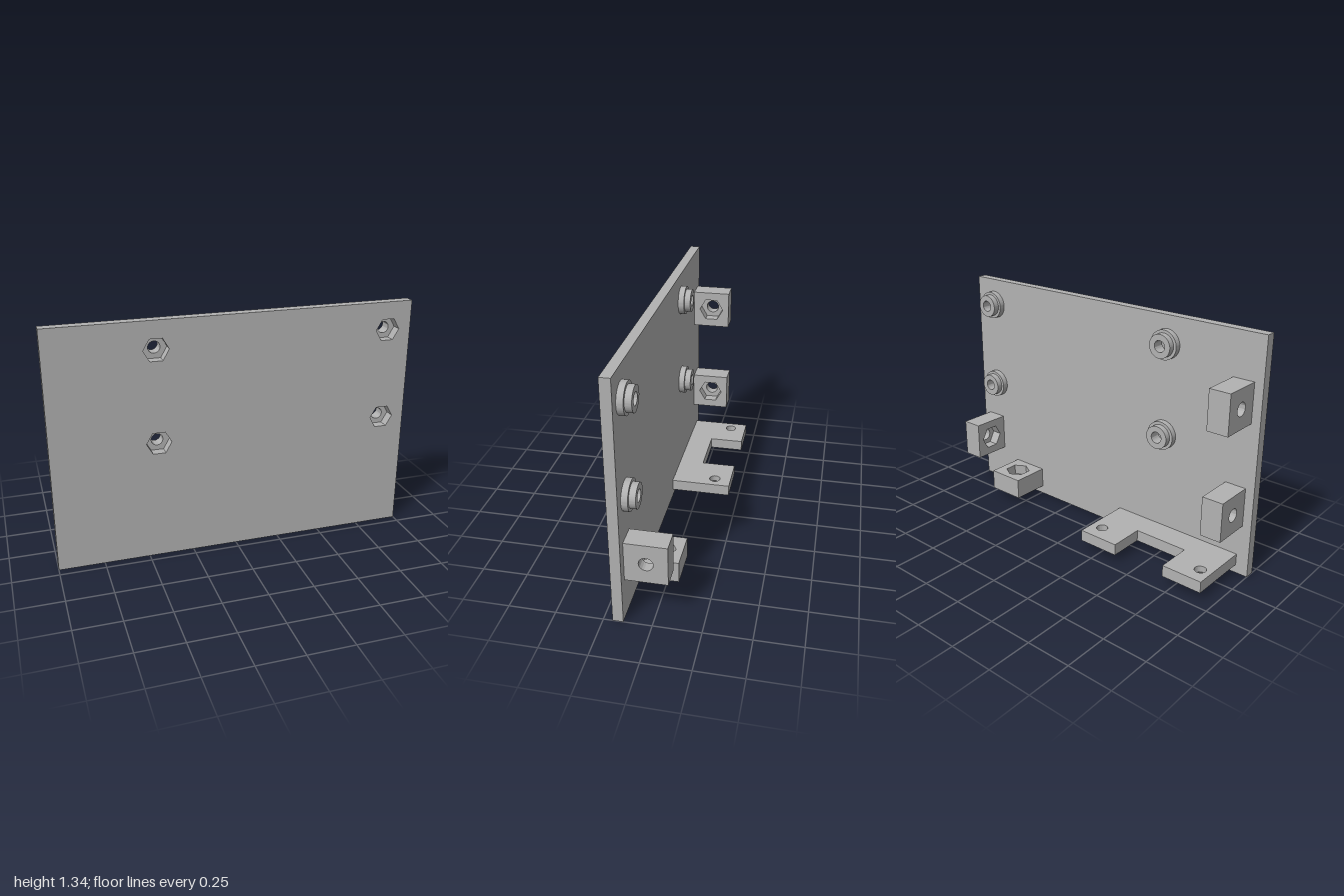
import * as THREE from 'three';
import { toCreasedNormals } from 'three/addons/utils/BufferGeometryUtils.js';

const grey = new THREE.MeshStandardMaterial({ color: 0xb2b2b2 });
grey.name = 'grey plastic';

// Outline helpers
const trace = (target, pts) => target.setFromPoints(pts.map(([x, y]) => new THREE.Vector2(x, y)));
const rect = (x0, y0, x1, y1) => trace(new THREE.Shape(), [[x0, y0], [x1, y0], [x1, y1], [x0, y1]]);
const disc = (r) => new THREE.Shape().absarc(0, 0, r, 0, Math.PI * 2, false);
const roundHole = (x, y, r) => new THREE.Path().absarc(x, y, r, 0, Math.PI * 2, true);
const hexHole = (x, y, r) => trace(new THREE.Path(), Array.from({ length: 7 }, (_, i) => {
  const a = -(i % 6) * Math.PI / 3;
  return [x + r * Math.cos(a), y + r * Math.sin(a)];
}));

// Extruded layer with holes, from z to z + depth
function layer(name, shape, holes, z, depth) {
  shape.holes.push(...holes);
  const geo = new THREE.ExtrudeGeometry(shape, { depth, bevelEnabled: false, curveSegments: 40 });
  const mesh = new THREE.Mesh(toCreasedNormals(geo, 0.5), grey);
  mesh.name = name;
  mesh.position.z = z;
  return mesh;
}

// Square lug with a bolt hole and a hexagonal nut pocket open towards local +z
function nutBlock(name, position, rotation) {
  const h = 0.11, g = new THREE.Group();
  g.name = name;
  g.add(
    layer('boltHoleHalf', rect(-h, -h, h, h), [roundHole(0, 0, 0.037)], -0.06, 0.06),
    layer('nutPocketHalf', rect(-h, -h, h, h), [hexHole(0, 0, 0.073)], 0, 0.06),
  );
  g.position.set(...position);
  g.rotation.set(...rotation);
  return g;
}

// Notched shelf with two countersunk screw holes
function shelfBracket() {
  const g = new THREE.Group();
  g.name = 'shelfBracket';
  const outline = () => trace(new THREE.Shape(), [
    [-0.93, -0.145], [-0.14, -0.145], [-0.14, 0.202], [-0.38, 0.202],
    [-0.38, 0], [-0.695, 0], [-0.695, 0.202], [-0.93, 0.202]]);
  const xs = [-0.865, -0.21], y = 0.105, sink = 0.03;
  g.add(
    layer('shelfLower', outline(), xs.map((x) => roundHole(x, y, 0.06)), 0, sink),
    layer('shelfUpper', outline(), xs.map((x) => roundHole(x, y, 0.032)), sink, 0.035),
  );
  for (const x of xs) {
    const cone = new THREE.Mesh(new THREE.LatheGeometry(
      [new THREE.Vector2(0.032, sink), new THREE.Vector2(0.06, 0)], 40), grey);
    cone.name = 'countersink';
    cone.rotation.x = Math.PI / 2;
    cone.position.set(x, y, 0);
    g.add(cone);
  }
  g.rotation.x = -Math.PI / 2;
  g.position.y = 0.05;
  return g;
}

export function createModel() {
  const model = new THREE.Group();
  model.name = 'mountingPlate';

  // Panel with hexagonal nut pockets
  const mounts = [];
  for (const x of [-0.427, 0.865]) for (const y of [0.67, 1.18]) mounts.push([x, y]);
  model.add(layer('panel', rect(-1, 0, 1, 1.335), mounts.map(([x, y]) => hexHole(x, y, 0.068)), 0.147, 0.055));

  // Stepped standoffs behind each pocket
  for (const [x, y] of mounts) {
    const boss = new THREE.Group();
    boss.name = 'standoff';
    boss.add(
      layer('standoffBase', disc(0.081), [roundHole(0, 0, 0.032)], 0.114, 0.033),
      layer('standoffTip', disc(0.065), [roundHole(0, 0, 0.032)], 0.08, 0.034),
    );
    boss.position.set(x, y, 0);
    model.add(boss);
  }

  // Nut blocks along the edges
  const q = Math.PI / 2;
  model.add(
    nutBlock('upperRightBlock', [-0.89, 0.98, 0.036], [0, q, 0]),
    nutBlock('lowerRightBlock', [-0.89, 0.402, 0.036], [0, q, 0]),
    nutBlock('leftBlock', [0.89, 0.335, 0.036], [0, -q, 0]),
    nutBlock('bottomBlock', [0.6, 0.111, 0.036], [-q, 0, q]),
    shelfBracket(),
  );
  return model;
}
